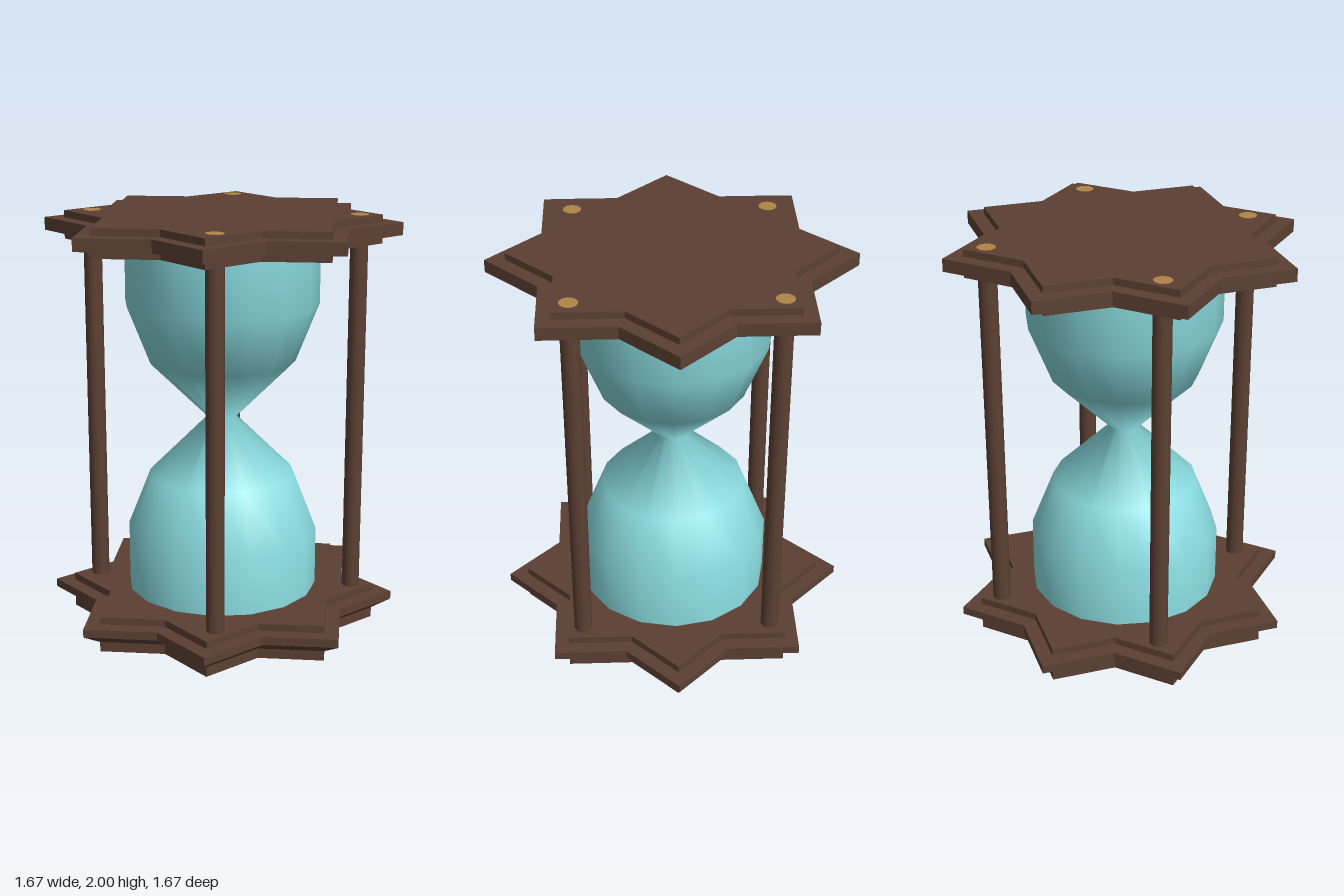
import * as THREE from 'three';

const wood = new THREE.MeshStandardMaterial({ color: 0x5c4033 });
wood.name = 'darkWood';
wood.flatShading = true;
const postWood = new THREE.MeshStandardMaterial({ color: 0x5c4033 });
postWood.name = 'postWood';
const glass = new THREE.MeshStandardMaterial({ color: 0x8adce0 });
glass.name = 'paleGlass';
const brass = new THREE.MeshStandardMaterial({ color: 0xb08446 });
brass.name = 'brass';

const TIP = 0.835, NOTCH = 0.639; // radii of the eight-pointed star

// Stacks star outlines of [scale, height] into a closed solid with flat faces
function starSolid(profile) {
  const point = (i, [s, y]) => {
    const a = (i * Math.PI) / 8, r = s * (i % 2 ? NOTCH : TIP);
    return [r * Math.cos(a), y, r * Math.sin(a)];
  };
  const pos = [];
  for (let k = 0; k < profile.length - 1; k++) {
    const low = profile[k], up = profile[k + 1];
    for (let i = 0; i < 16; i++) {
      const a = point(i, low), b = point(i + 1, low);
      const c = point(i + 1, up), d = point(i, up);
      if (up[0] > 0) pos.push(...a, ...d, ...c);
      if (low[0] > 0) pos.push(...a, ...c, ...b);
    }
  }
  const g = new THREE.BufferGeometry();
  g.setAttribute('position', new THREE.Float32BufferAttribute(pos, 3));
  g.computeVertexNormals();
  return g;
}

export function createModel() {
  const model = new THREE.Group();
  model.name = 'hourglass';
  const add = (name, geometry, material, x = 0, y = 0, z = 0) => {
    const mesh = new THREE.Mesh(geometry, material);
    mesh.name = name;
    mesh.position.set(x, y, z);
    model.add(mesh);
  };

  // Stepped star plates; the lower one has a bevelled underside
  const S = 0.888;
  add('basePlate', starSolid([
    [0, 0.002], [S, 0.002], [S, 0.05], [1, 0.1], [1, 0.14], [S, 0.14], [S, 0.175], [0, 0.175],
  ]), wood);
  add('topPlate', starSolid([
    [0, 1.865], [S, 1.865], [S, 1.905], [1, 1.905], [1, 1.965], [S, 1.965], [S, 1.998], [0, 1.998],
  ]), wood);

  // Glass bulbs meeting at a narrow neck
  const bulb = [
    [0.46, 0.17], [0.46, 0.46], [0.35, 0.74], [0.07, 1.02],
    [0.35, 1.3], [0.46, 1.58], [0.46, 1.87],
  ].map(([r, y]) => new THREE.Vector2(r, y));
  add('glassBulbs', new THREE.LatheGeometry(bulb, 16), glass);

  // Four posts with brass ends showing through the plates
  const post = new THREE.CylinderGeometry(0.043, 0.043, 1.7, 12);
  const cap = new THREE.CylinderGeometry(0.043, 0.043, 0.008, 12);
  for (const x of [-0.413, 0.446]) {
    for (const z of [-0.457, 0.453]) {
      add('post', post, postWood, x, 1.02, z);
      add('topPostCap', cap, brass, x, 1.996, z);
      add('bottomPostCap', cap, brass, x, 0.004, z);
    }
  }
  return model;
}
